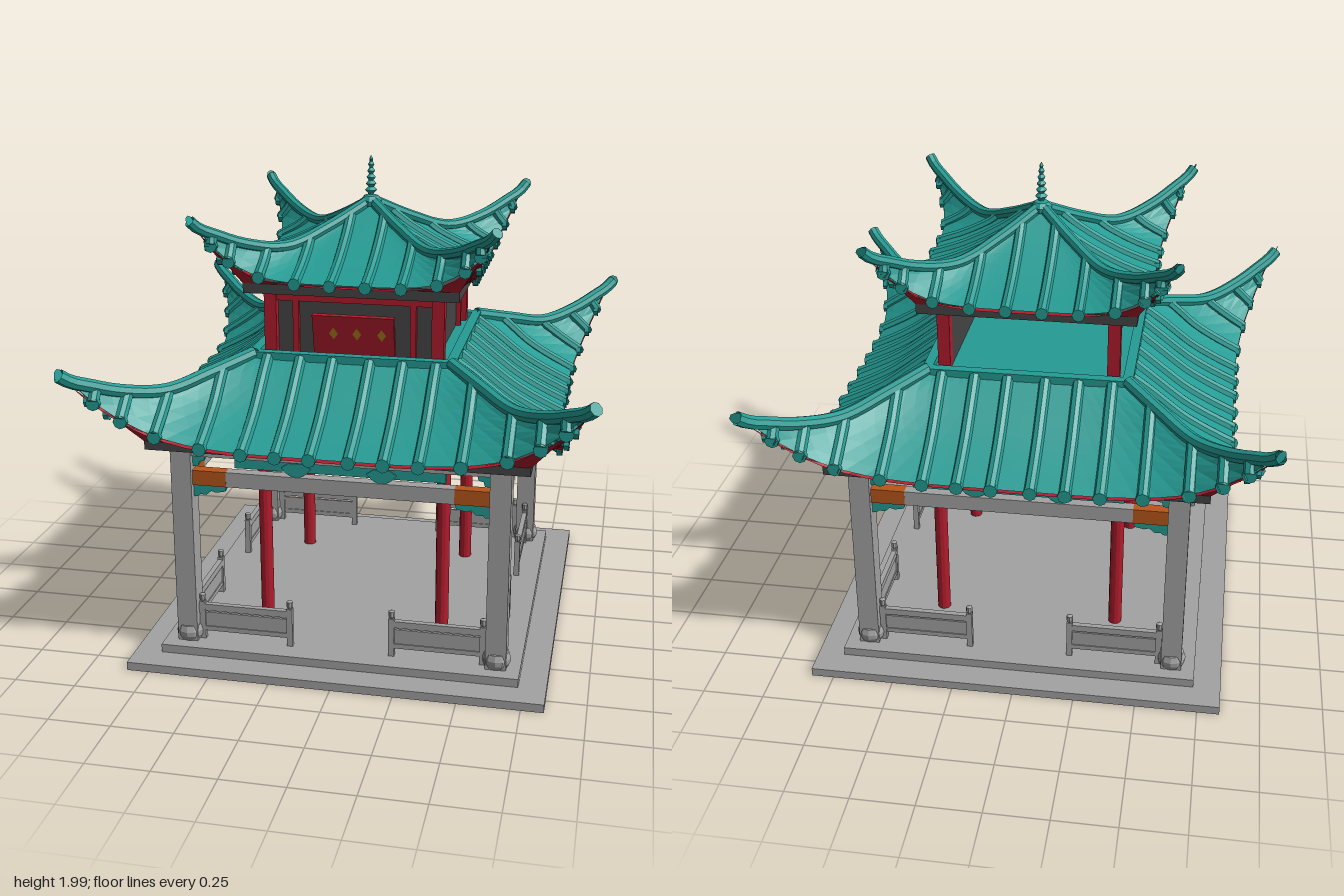
import * as THREE from 'three';
import { ParametricGeometry } from 'three/addons/geometries/ParametricGeometry.js';

const material = (name, color, side = THREE.FrontSide) => {
  const m = new THREE.MeshStandardMaterial({ color, flatShading: true, side });
  m.name = name;
  return m;
};

export function createModel() {
  const stone = material('stone', 0xa3a3a3);
  const teal = material('tealTile', 0x259c94, THREE.DoubleSide);
  const red = material('redLacquer', 0xb01c2c, THREE.DoubleSide);
  const dark = material('darkTimber', 0x454545);
  const orange = material('orangePaint', 0xb8561c);
  const gold = material('goldPaint', 0xb08020);

  const root = new THREE.Group();
  root.name = 'pavilion';

  const add = (parent, name, geometry, mat, x = 0, y = 0, z = 0) => {
    const mesh = new THREE.Mesh(geometry, mat);
    mesh.name = name;
    mesh.position.set(x, y, z);
    parent.add(mesh);
    return mesh;
  };
  // box given by its lower and upper limits
  const box = (parent, name, mat, x0, x1, y0, y1, z0, z1) =>
    add(parent, name, new THREE.BoxGeometry(x1 - x0, y1 - y0, z1 - z0), mat,
      (x0 + x1) / 2, (y0 + y1) / 2, (z0 + z1) / 2);
  const lathe = (parent, name, mat, pts, sides, x = 0, y = 0, z = 0) =>
    add(parent, name, new THREE.LatheGeometry(pts.map(p => new THREE.Vector2(...p)), sides), mat, x, y, z);
  // tube with closed ends along a list of points
  const rod = (parent, name, mat, pts, r, sides = 8) => {
    const curve = new THREE.CatmullRomCurve3(pts);
    add(parent, name, new THREE.TubeGeometry(curve, pts.length * 2, r, sides), mat);
    for (const t of [0, 1]) {
      const cap = add(parent, name + 'End', new THREE.CircleGeometry(r, sides), mat);
      const p = curve.getPoint(t);
      cap.position.copy(p);
      cap.lookAt(p.clone().addScaledVector(curve.getTangent(t), t ? 1 : -1));
    }
  };
  const profile = (parent, name, mat, pts, depth, z) =>
    add(parent, name, new THREE.ExtrudeGeometry(new THREE.Shape(pts.map(p => new THREE.Vector2(...p))),
      { depth, bevelEnabled: false }), mat, 0, 0, z - depth / 2);
  const quarters = (name, build) => {
    for (let k = 0; k < 4; k++) {
      const g = new THREE.Group();
      g.name = name + (k + 1);
      g.rotation.y = k * Math.PI / 2;
      root.add(g);
      build(g, k);
    }
  };

  // stepped plinth
  box(root, 'lowerPlinth', stone, -0.84, 0.84, 0, 0.035, -0.84, 0.84);
  box(root, 'upperPlinth', stone, -0.73, 0.73, 0.035, 0.07, -0.73, 0.73);

  // one colonnade side, turned four times
  quarters('colonnadeSide', g => {
    box(g, 'cornerColumn', stone, 0.592, 0.675, 0.07, 0.93, 0.592, 0.675);
    lathe(g, 'columnBase', stone, [[0, 0], [0.046, 0], [0.056, 0.02], [0.058, 0.04], [0.05, 0.065], [0, 0.075]],
      12, 0.633, 0.07, 0.633);
    add(g, 'innerColumn', new THREE.CylinderGeometry(0.028, 0.028, 0.87, 12), red, 0.375, 0.5, 0.375);
    box(g, 'topBeam', stone, -0.592, 0.592, 0.877, 0.925, 0.605, 0.662);
    box(g, 'tieBeam', stone, -0.455, 0.455, 0.753, 0.815, 0.61, 0.656);
    // painted frieze with hanging scallops
    box(g, 'frieze', teal, -0.42, 0.42, 0.833, 0.877, 0.62, 0.646);
    for (const m of [-1, 1]) {
      const mirror = pts => pts.map(([x, y]) => [x * m, y]);
      profile(g, 'friezeScallop', teal, mirror([[0.11, 0.85], [0.13, 0.828], [0.155, 0.815], [0.185, 0.815],
        [0.21, 0.828], [0.23, 0.85], [0.2, 0.87], [0.14, 0.87]]), 0.036, 0.633);
      profile(g, 'upperBracket', teal, mirror([[0.592, 0.877], [0.54, 0.877], [0.545, 0.855], [0.565, 0.85],
        [0.57, 0.832], [0.592, 0.828]]), 0.026, 0.633);
      box(g, 'beamEnd', orange, ...(m > 0 ? [0.455, 0.592] : [-0.592, -0.455]), 0.753, 0.815, 0.609, 0.657);
      profile(g, 'lowerBracket', teal, mirror([[0.592, 0.753], [0.455, 0.753], [0.462, 0.73], [0.5, 0.722],
        [0.52, 0.728], [0.54, 0.71], [0.565, 0.712], [0.575, 0.702], [0.592, 0.702]]), 0.026, 0.633);
      // railing from the corner column to the entrance gap
      for (const x of [0.21, 0.578]) {
        box(g, 'railPost', stone, m * x - 0.012, m * x + 0.012, 0.07, 0.235, 0.621, 0.645);
        lathe(g, 'railPostCap', stone, [[0, 0], [0.008, 0], [0.014, 0.012], [0.013, 0.032], [0, 0.037]],
          8, m * x, 0.233, 0.633);
      }
      const span = m > 0 ? [0.215, 0.592] : [-0.592, -0.215];
      box(g, 'handRail', stone, ...span, 0.197, 0.225, 0.622, 0.644);
      box(g, 'railPanel', stone, ...span, 0.125, 0.187, 0.628, 0.638);
      box(g, 'lowerRail', stone, ...span, 0.105, 0.125, 0.624, 0.642);
    }
    // ceiling frames
    box(g, 'ceilingBeam', teal, -0.4, 0.4, 0.89, 0.926, 0.35, 0.4);
    box(g, 'ceilingBorder', teal, -0.56, 0.56, 0.905, 0.926, 0.52, 0.56);
  });

  // eave plates and the floor of the upper storey
  box(root, 'lowerEavePlate', dark, -0.75, 0.75, 0.925, 0.97, -0.75, 0.75);
  box(root, 'upperEavePlate', dark, -0.43, 0.43, 1.49, 1.54, -0.43, 0.43);
  box(root, 'upperFloor', teal, -0.4, 0.4, 1.2, 1.225, -0.4, 0.4);

  // upper storey: posts all round, walls on three sides, open at the back
  quarters('upperStorey', (g, k) => {
    box(g, 'upperPost', red, 0.314, 0.364, 1.22, 1.49, 0.314, 0.364);
    add(g, 'roofCollar', new THREE.BoxGeometry(0.84, 0.04, 0.04), teal, 0, 1.228, 0.4);
    if (k === 2) return;
    box(g, 'wallPanel', dark, -0.314, 0.314, 1.22, 1.45, 0.315, 0.33);
    box(g, 'wallLintel', red, -0.314, 0.314, 1.448, 1.49, 0.318, 0.355);
    for (const x of [-0.238, 0.238]) box(g, 'wallJamb', red, x - 0.012, x + 0.012, 1.22, 1.45, 0.32, 0.35);
  });

  // tilted front plaque with plain gilt ornaments
  const plaque = new THREE.Group();
  plaque.name = 'plaque';
  plaque.position.set(0, 1.318, 0.352);
  plaque.rotation.x = 0.2;
  root.add(plaque);
  box(plaque, 'plaqueBoard', red, -0.165, 0.165, -0.085, 0.085, -0.01, 0.01);
  for (const x of [-0.08, 0.015, 0.115]) {
    const gilt = add(plaque, 'giltOrnament', new THREE.CircleGeometry(0.026, 4), gold, x, 0.01, 0.012);
    gilt.scale.x = 0.7;
  }

  // four-sided roof with upswept corners
  const roof = (name, o) => {
    const radius = t => THREE.MathUtils.lerp(o.r0, o.r1, t);
    const height = ys => {
      const c = new THREE.CatmullRomCurve3(ys.map((y, i) => new THREE.Vector3(i, y, 0)), false, 'catmullrom');
      return t => c.getPoint(Math.min(1, t)).y;
    };
    const ridgeY = height(o.ridge), midY = height(o.mid);
    const surface = (s, t, v) => {
      const w = Math.abs(s) ** 4.5;
      return v.set(s * radius(t), THREE.MathUtils.lerp(midY(t), ridgeY(t), w),
        THREE.MathUtils.lerp(THREE.MathUtils.lerp(o.r0, o.eave, t), radius(t), w));
    };
    quarters(name, g => {
      add(g, 'roofSlope', new ParametricGeometry((u, t, v) => surface(u * 2 - 1, 1 - t, v), 24, 10), teal);
      // red soffit from the eave plate out to the eave
      add(g, 'soffit', new ParametricGeometry((u, t, v) => {
        const s = u * 2 - 1;
        surface(s, 1, v);
        v.y -= 0.012;
        v.lerp(new THREE.Vector3(s * o.plate, o.plateY, o.plate), 1 - t);
      }, 24, 3), red);
      // rounded cover tiles running straight down the slope
      for (const x0 of o.ribs) for (const x of [-x0, x0]) {
        const start = Math.max(0.02, (x0 - o.r0) / (o.r1 - o.r0) + 0.02);
        const pts = [];
        for (let i = 0; i <= 6; i++) {
          const t = THREE.MathUtils.lerp(start, 1, i / 6);
          const p = surface(Math.sign(x) * Math.min(1, x0 / radius(t)), t, new THREE.Vector3());
          p.x = x;
          pts.push(p);
        }
        rod(g, 'coverTile', teal, pts, o.ribR);
        const end = pts[6];
        add(g, 'eaveTile', new THREE.CylinderGeometry(o.ribR * 1.15, o.ribR * 1.15, 0.02, 8), teal,
          end.x, end.y - 0.004, end.z).rotation.x = Math.PI / 2;
      }
      // hip ridge
      const hip = [];
      for (let i = 0; i <= 10; i++) hip.push(new THREE.Vector3(radius(i / 10), ridgeY(i / 10) + 0.006, radius(i / 10)));
      hip.push(new THREE.Vector3(o.tip[0], o.tip[1], o.tip[0]));
      rod(g, 'hipRidge', teal, hip, o.hipR);
    });
  };
  roof('lowerRoof', {
    r0: 0.4, r1: 0.95, eave: 0.82, ridge: [1.232, 1.185, 1.145, 1.175, 1.245], mid: [1.232, 1.15, 1.07, 1.01, 0.96],
    plate: 0.75, plateY: 0.96, ribs: [0.075, 0.207, 0.34, 0.5, 0.67, 0.79, 0.88], ribR: 0.024, hipR: 0.027, tip: [0.98, 1.28],
  });
  roof('upperRoof', {
    r0: 0.005, r1: 0.56, eave: 0.47, ridge: [1.795, 1.71, 1.65, 1.68, 1.76], mid: [1.795, 1.71, 1.64, 1.585, 1.545],
    plate: 0.43, plateY: 0.0 + 1.53, ribs: [0.07, 0.21, 0.35, 0.46, 0.52], ribR: 0.022, hipR: 0.023, tip: [0.585, 1.797],
  });

  // beaded finial
  const finial = [[0, 0], [0.04, 0], [0.044, 0.02], [0.03, 0.04], [0.012, 0.045]];
  for (let i = 0; i < 5; i++) {
    const r = 0.025 - i * 0.003, y = 0.05 + i * 0.026;
    finial.push([r * 0.5, y], [r, y + 0.013], [r * 0.5, y + 0.025]);
  }
  finial.push([0.008, 0.19], [0, 0.205]);
  lathe(root, 'finial', teal, finial, 10, 0, 1.78, 0);

  return root;
}
